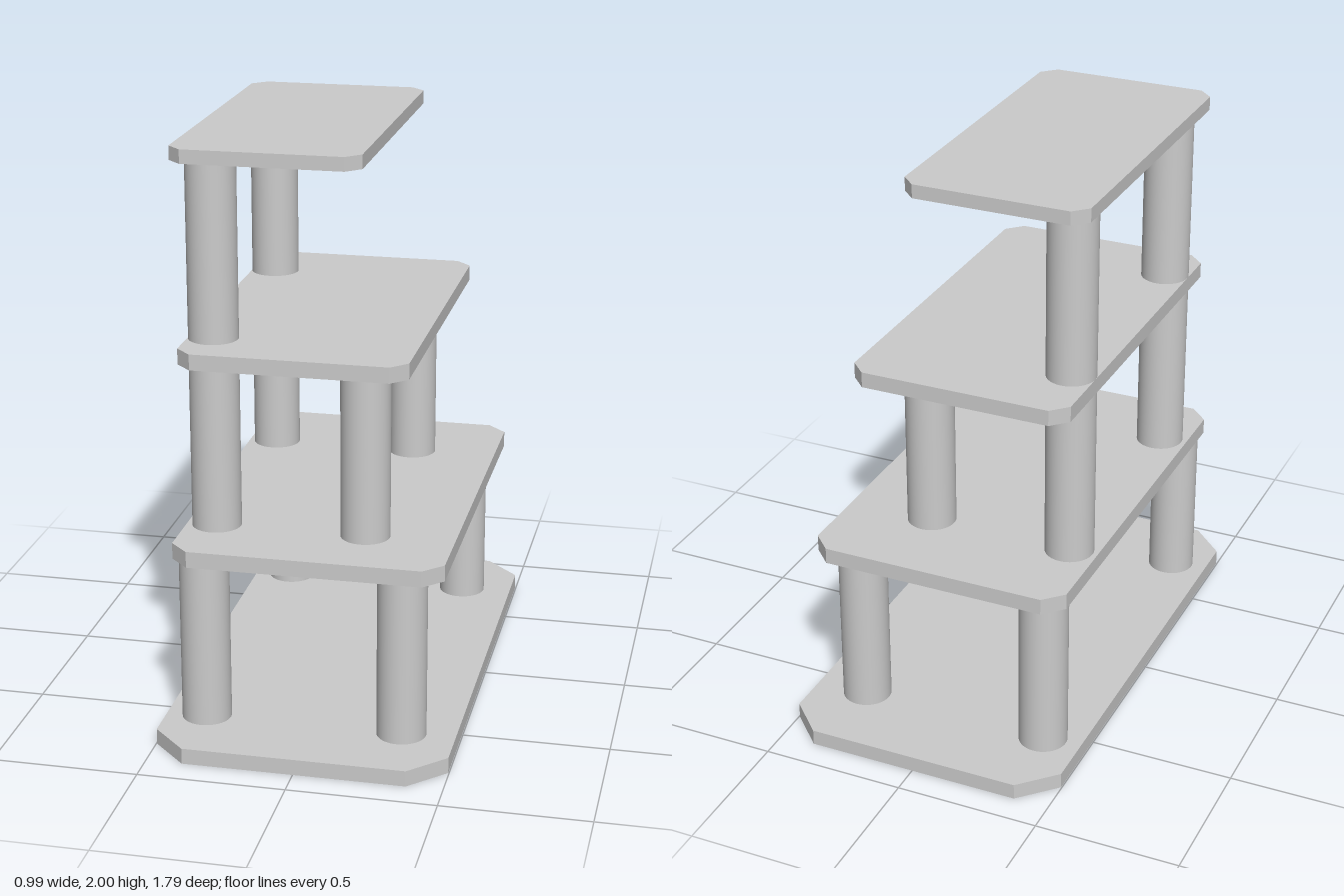
import * as THREE from 'three';

const material = new THREE.MeshStandardMaterial({ color: 0xcccccc });

// Flat board with clipped corners, lying between y0 and y1
function board(name, x0, x1, z, cut, y0, y1) {
  const shape = new THREE.Shape([
    [x0 + cut, -z], [x1 - cut, -z], [x1, -z + cut], [x1, z - cut],
    [x1 - cut, z], [x0 + cut, z], [x0, z - cut], [x0, -z + cut],
  ].map(([x, y]) => new THREE.Vector2(x, y)));
  const geometry = new THREE.ExtrudeGeometry(shape, { depth: y1 - y0, bevelEnabled: false });
  geometry.rotateX(-Math.PI / 2);
  const mesh = new THREE.Mesh(geometry, material);
  mesh.name = name;
  mesh.position.y = y0;
  return mesh;
}

// One tier of round posts at every combination of xs and zs
function posts(name, xs, zs, y0, y1) {
  const tier = new THREE.Group();
  tier.name = name;
  const geometry = new THREE.CylinderGeometry(0.084, 0.084, y1 - y0, 48);
  for (const x of xs) {
    for (const z of zs) {
      const post = new THREE.Mesh(geometry, material);
      post.name = 'post';
      post.position.set(x, (y0 + y1) / 2, z);
      tier.add(post);
    }
  }
  return tier;
}

export function createModel() {
  const model = new THREE.Group();
  model.name = 'tieredShelf';
  model.add(
    // Boards shrink from the base upwards
    board('base', -0.497, 0.497, 0.897, 0.12, 0, 0.055),
    board('lowerShelf', -0.461, 0.457, 0.726, 0.065, 0.63, 0.686),
    board('middleShelf', -0.444, 0.323, 0.656, 0.054, 1.291, 1.345),
    board('topShelf', -0.476, 0.156, 0.583, 0.048, 1.953, 2),
    // Posts between the boards; the top tier stands on one side only
    posts('lowerPosts', [-0.36, 0.313], [-0.612, 0.634], 0.055, 0.63),
    posts('middlePosts', [-0.36, 0.153], [-0.396, 0.461], 0.686, 1.291),
    posts('upperPosts', [-0.36], [-0.396, 0.461], 1.345, 1.953),
  );
  return model;
}
